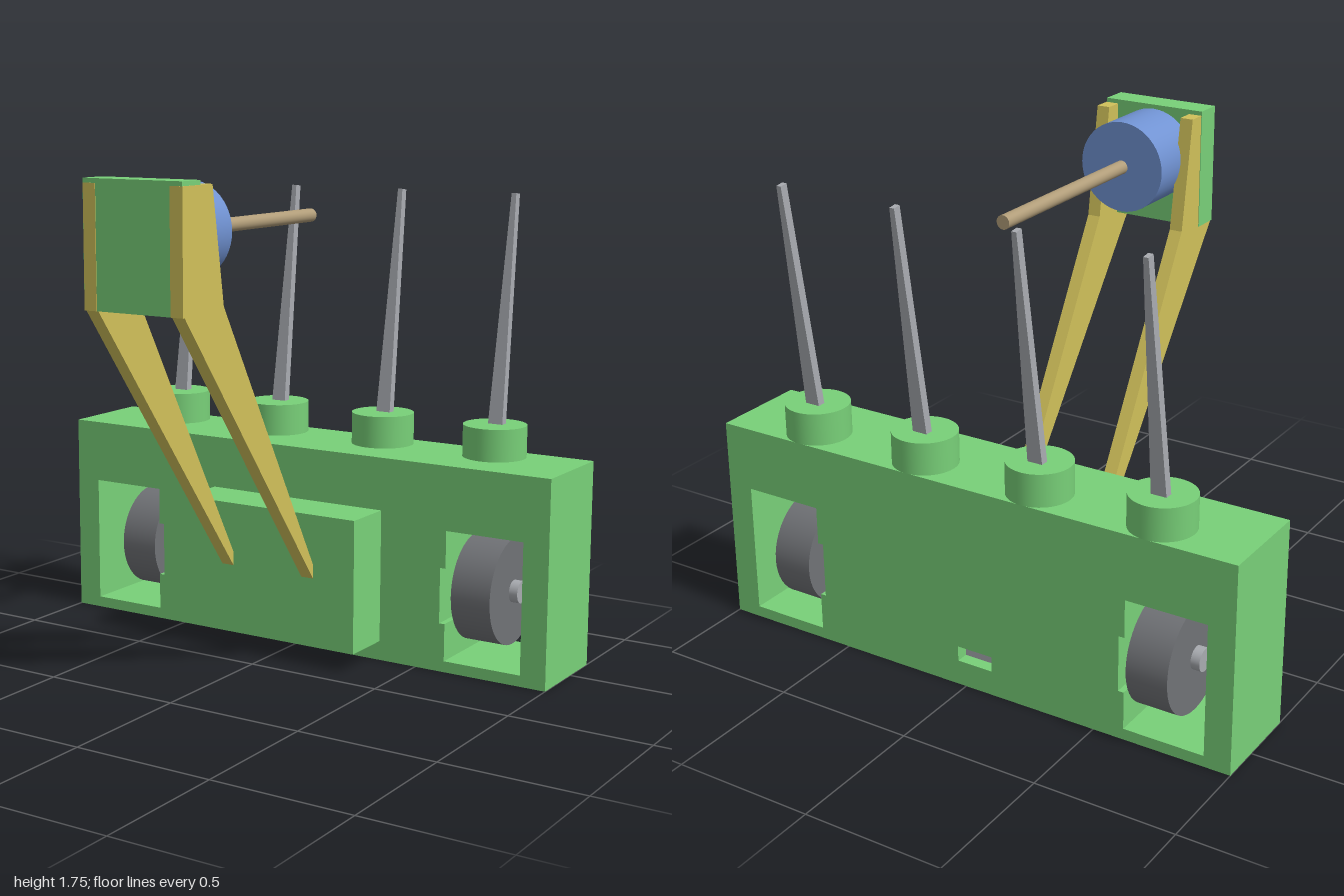
import * as THREE from 'three';

const material = (name, color) => {
  const m = new THREE.MeshStandardMaterial({ color });
  m.name = name;
  return m;
};

export function createModel() {
  const green = material('green', 0x78d078);
  const yellow = material('yellow', 0xd0c05a);
  const blue = material('blue', 0x7092d2);
  const tan = material('tan', 0xb09c78);
  const steel = material('steel', 0xa8abb0);
  const rubber = material('rubber', 0x707276);

  const model = new THREE.Group();
  model.name = 'model';

  const add = (name, geometry, mat, parent = model) => {
    const mesh = new THREE.Mesh(geometry, mat);
    mesh.name = name;
    parent.add(mesh);
    return mesh;
  };
  // Box given by its minimum and maximum corners
  const box = (name, mat, [x0, y0, z0], [x1, y1, z1]) => {
    const geometry = new THREE.BoxGeometry(x1 - x0, y1 - y0, z1 - z0);
    geometry.translate((x0 + x1) / 2, (y0 + y1) / 2, (z0 + z1) / 2);
    return add(name, geometry, mat);
  };
  const points = (list) => list.map(([x, y]) => new THREE.Vector2(x, y));

  // Body with a wheel window at each end and a small slot in the back
  const bodyShape = new THREE.Shape(points([[-1, 0], [1, 0], [1, 0.74], [-1, 0.74]]));
  for (const s of [-1, 1]) {
    bodyShape.holes.push(new THREE.Path(points([
      [0.905, 0.04], [0.905, 0.51], [0.613, 0.51], [0.613, 0.375],
      [0.592, 0.375], [0.592, 0.175], [0.613, 0.175], [0.613, 0.04],
    ].map(([x, y]) => [s * x, y]))));
  }
  bodyShape.holes.push(new THREE.Path(points([[-0.105, 0.09], [0.03, 0.09], [0.03, 0.145], [-0.105, 0.145]])));
  const bodyGeometry = new THREE.ExtrudeGeometry(bodyShape, { depth: 0.355, bevelEnabled: false });
  bodyGeometry.translate(0, 0, -0.645);
  add('body', bodyGeometry, green);
  box('slotInsert', steel, [-0.105, 0.09, -0.6], [0.03, 0.145, -0.3]);
  box('frontBlock', green, [-0.357, 0.07, -0.29], [0.355, 0.55, -0.1]);

  // Wheels with axle and inner hub
  for (const s of [-1, 1]) {
    const wheel = new THREE.Group();
    wheel.name = s > 0 ? 'leftWheel' : 'rightWheel';
    wheel.position.set(0, 0.277, -0.482);
    model.add(wheel);
    const disc = (name, mat, radius, x0, x1) => {
      const geometry = new THREE.CylinderGeometry(radius, radius, x1 - x0, 48);
      geometry.rotateZ(Math.PI / 2);
      geometry.translate(s * (x0 + x1) / 2, 0, 0);
      add(name, geometry, mat, wheel);
    };
    disc('tire', rubber, 0.193, 0.636, 0.785);
    disc('hub', steel, 0.098, 0.605, 0.64);
    disc('axle', steel, 0.04, 0.59, 0.817);
  }

  // Row of knobs, each carrying a tapered blade that leans back
  for (let i = 0; i < 4; i++) {
    const x = -0.68 + 0.451 * i;
    const knob = add('knob', new THREE.CylinderGeometry(0.113, 0.113, 0.115, 48), green);
    knob.position.set(x, 0.7975, -0.533);

    const bladeGeometry = new THREE.BoxGeometry(1, 0.82, 0.03);
    const p = bladeGeometry.attributes.position;
    for (let v = 0; v < p.count; v++) p.setX(v, p.getX(v) * (p.getY(v) > 0 ? 0.018 : 0.056));
    bladeGeometry.computeVertexNormals();
    const blade = add('blade', bladeGeometry, steel);
    blade.position.set(x, 1.25, -0.6);
    blade.rotation.x = -0.132;
  }

  // Pair of bent arms rising from the front block
  const armShape = new THREE.Shape(points([
    [-0.1, 0.32], [0.672, 1.325], [0.68, 1.325], [0.68, 1.73], [0.517, 1.73], [0.456, 1.34], [-0.1, 0.37],
  ]));
  for (const x of [-0.194, 0.142]) {
    const geometry = new THREE.ExtrudeGeometry(armShape, { depth: 0.048, bevelEnabled: false });
    geometry.rotateY(-Math.PI / 2);
    geometry.translate(x + 0.048, 0, 0);
    add('arm', geometry, yellow);
  }

  // Head plate, motor and shaft
  box('headPlate', green, [-0.196, 1.325, 0.58], [0.188, 1.745, 0.678]);
  const rod = (name, mat, radius, z0, z1) => {
    const geometry = new THREE.CylinderGeometry(radius, radius, z1 - z0, 48);
    geometry.rotateX(Math.PI / 2);
    geometry.translate(-0.003, 1.57, (z0 + z1) / 2);
    add(name, geometry, mat);
  };
  rod('motor', blue, 0.16, 0.358, 0.585);
  rod('shaft', tan, 0.024, -0.388, 0.36);

  return model;
}
